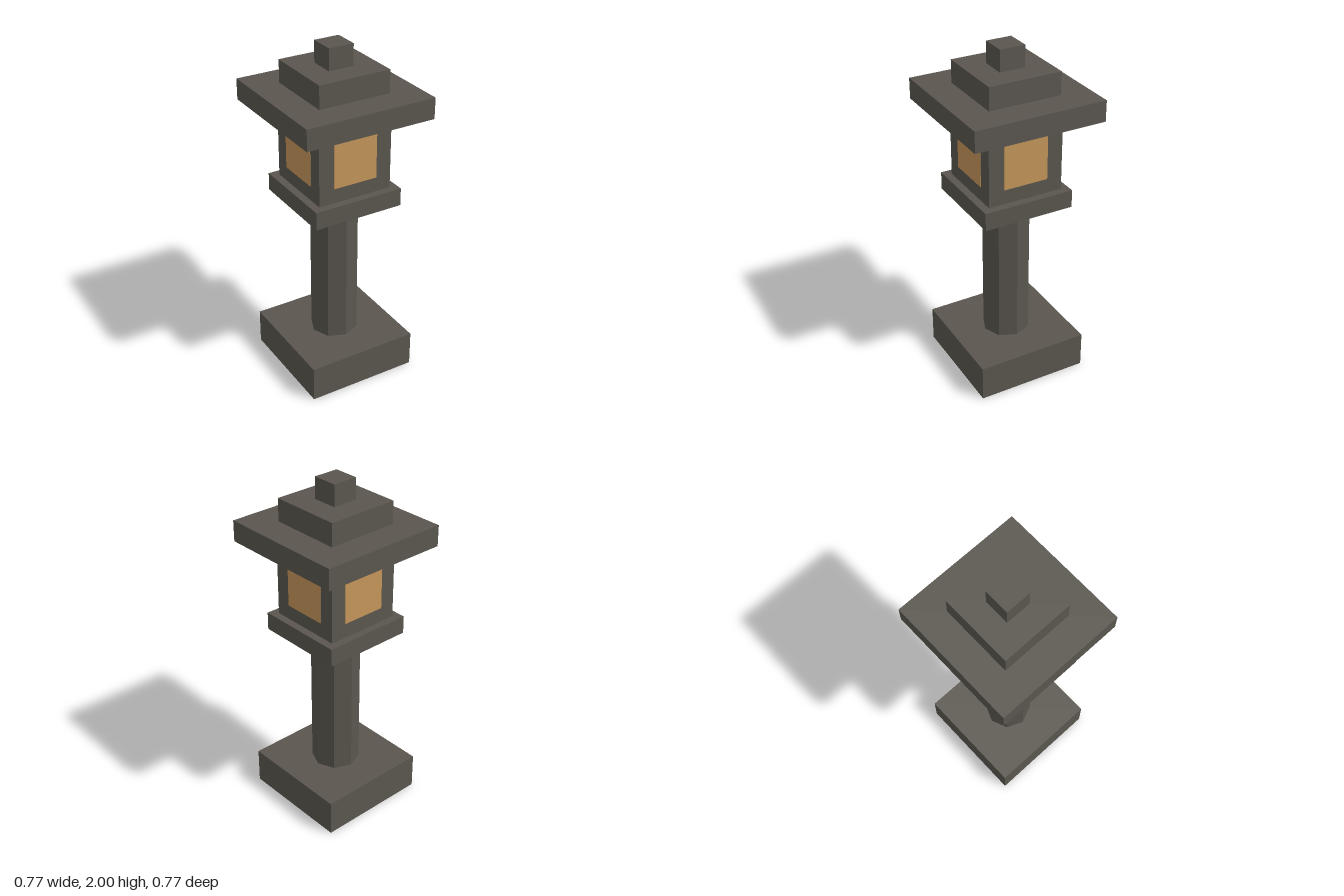
import * as THREE from 'three';

const stone = new THREE.MeshStandardMaterial({ color: 0x5a564f, flatShading: true });
stone.name = 'stone';
const amber = new THREE.MeshStandardMaterial({ color: 0xc4965a });
amber.name = 'amber glow';

export function createModel() {
  const lantern = new THREE.Group();
  lantern.name = 'stoneLantern';

  const add = (name, geometry, material, parent = lantern) => {
    const mesh = new THREE.Mesh(geometry, material);
    mesh.name = name;
    parent.add(mesh);
    return mesh;
  };

  // Square slabs, bottom to top: name, width, bottom, top
  const slabs = [
    ['base', 0.666, 0, 0.213],
    ['platform', 0.538, 1.08, 1.185],
    ['lightChamber', 0.448, 1.185, 1.62],
    ['roof', 0.771, 1.62, 1.742],
    ['upperRoof', 0.428, 1.742, 1.875],
    ['finial', 0.15, 1.875, 2],
  ];
  for (const [name, width, bottom, top] of slabs) {
    add(name, new THREE.BoxGeometry(width, top - bottom, width), stone)
      .position.y = (bottom + top) / 2;
  }

  // Octagonal post with a corner facing the front
  add('post', new THREE.CylinderGeometry(0.14, 0.14, 0.867, 8), stone).position.y = 0.6465;

  // One thin glowing pane on each side of the chamber
  const pane = new THREE.BoxGeometry(0.265, 0.26, 0.004);
  ['front', 'left', 'back', 'right'].forEach((side, i) => {
    const pivot = new THREE.Group();
    pivot.name = side + 'Window';
    pivot.rotation.y = i * Math.PI / 2;
    add(side + 'Pane', pane, amber, pivot).position.set(0, 1.401, 0.225);
    lantern.add(pivot);
  });

  return lantern;
}
